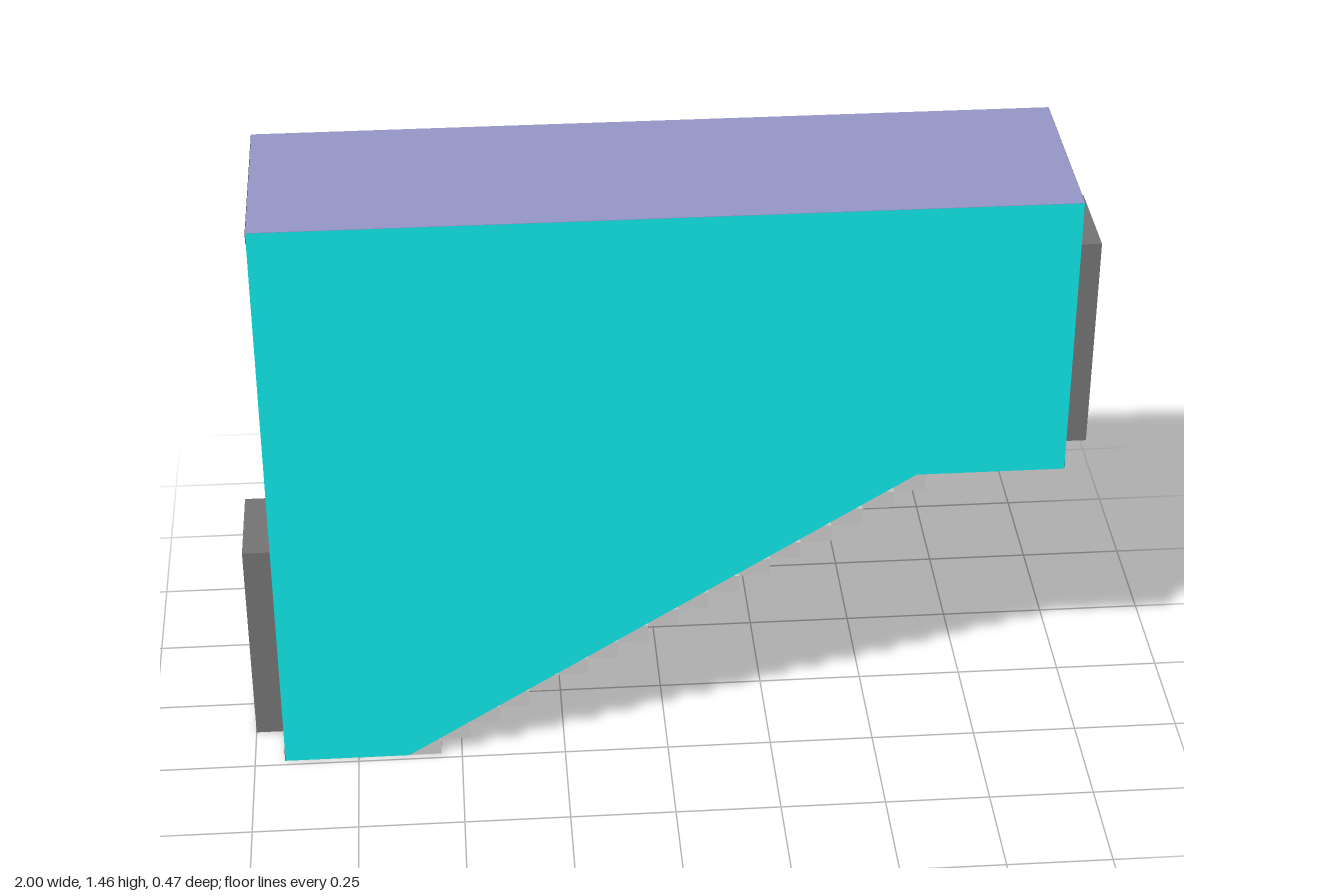
import * as THREE from 'three';

// Main dimensions
const END = 0.927, HALF = 0.235, TOP = 1.456, UPPER = 0.754, TIP = 1.0;
const DOOR_W = 0.117, DOOR_H = 0.531, CASING = 0.007;
const STEPS = 17, STAIR_X0 = -0.622, STAIR_X1 = 0.601, TRIM = 0.026;

const mat = (color) => new THREE.MeshStandardMaterial({ color, side: THREE.DoubleSide, flatShading: true });

export function createModel() {
  const group = new THREE.Group();
  const wallMat = mat(0x10e8e8), endMat = mat(0x10e810), ceilingMat = mat(0x9797ca);
  const floorMat = mat(0xe08888), trimMat = mat(0x757575), stepMat = mat(0xcccccc);

  const add = (name, geometry, material) => {
    const mesh = new THREE.Mesh(geometry, material);
    mesh.name = name;
    group.add(mesh);
    return mesh;
  };
  const box = (name, x0, x1, y0, y1, z0, z1, material) =>
    add(name, new THREE.BoxGeometry(x1 - x0, y1 - y0, z1 - z0), material)
      .position.set((x0 + x1) / 2, (y0 + y1) / 2, (z0 + z1) / 2);
  const outline = (points) => new THREE.Shape(points.map(([x, y]) => new THREE.Vector2(x, y)));

  // Long side walls, with the lower edge following the stairs
  const sideShape = outline([[-END, 0], [-0.628, 0], [0.58, UPPER], [END, UPPER], [END, TOP], [-END, TOP]]);
  for (const s of [-1, 1]) {
    const name = s > 0 ? 'front' : 'back';
    add(name + 'Wall', new THREE.ShapeGeometry(sideShape), wallMat).position.z = s * HALF;

    // Skirting and ceiling trim along the inside
    const z0 = s * (HALF - 0.002) - 0.001, z1 = z0 + 0.002;
    box(name + 'LowerSkirting', -END, -0.63, 0, TRIM, z0, z1, trimMat);
    box(name + 'UpperSkirting', 0.6, END, UPPER, UPPER + TRIM, z0, z1, trimMat);
    box(name + 'CeilingTrim', -END, END, TOP - TRIM, TOP, z0, z1, trimMat);
  }

  // Ceiling
  box('ceiling', -END, END, TOP - 0.001, TOP + 0.001, -HALF, HALF, ceilingMat);

  // Each end: wall with doorway, casing, projecting frame, trim and landing
  for (const [s, base, label, landingEdge] of [[-1, 0, 'lower', STAIR_X0], [1, UPPER, 'upper', STAIR_X1]]) {
    const head = base + DOOR_H;
    const arch = (w, h) => [[-w, base], [-w, h], [w, h], [w, base]];

    // A flat panel in the end plane
    const endPanel = (name, points, material, x) => {
      const mesh = add(name, new THREE.ShapeGeometry(outline(points)), material);
      mesh.rotation.y = Math.PI / 2;
      mesh.position.x = s * x;
    };
    endPanel(label + 'EndWall', [[-HALF, base], ...arch(DOOR_W, head), [HALF, base], [HALF, TOP], [-HALF, TOP]], endMat, END);
    endPanel(label + 'DoorCasing', [...arch(DOOR_W, head), ...arch(DOOR_W + CASING, head + CASING).reverse()], trimMat, END + 0.002);
    endPanel(label + 'EndCeilingTrim', [[-HALF, TOP - TRIM], [HALF, TOP - TRIM], [HALF, TOP], [-HALF, TOP]], trimMat, END + 0.001);
    for (const side of [-1, 1]) {
      const a = side * DOOR_W, b = side * HALF;
      endPanel(label + 'EndSkirting', [[a, base], [b, base], [b, base + TRIM], [a, base + TRIM]], trimMat, END + 0.001);
    }

    // Thin doorway frame
    const x0 = Math.min(s * END, s * TIP), x1 = Math.max(s * END, s * TIP);
    for (const side of [-1, 1]) {
      const z = side * (DOOR_W - 0.001);
      box(label + 'DoorJamb', x0, x1, base, head, z - 0.001, z + 0.001, trimMat);
    }
    box(label + 'DoorHead', x0, x1, head - 0.002, head, -DOOR_W, DOOR_W, trimMat);

    // Landing with a narrower threshold through the doorway
    const landing = outline([
      [landingEdge, -HALF], [s * END, -HALF], [s * END, -DOOR_W], [s * TIP, -DOOR_W],
      [s * TIP, DOOR_W], [s * END, DOOR_W], [s * END, HALF], [landingEdge, HALF],
    ]);
    const floor = add(label + 'Landing', new THREE.ShapeGeometry(landing), floorMat);
    floor.rotation.x = -Math.PI / 2;
    floor.position.y = base;
  }

  // Stair blocks climbing from one landing to the other
  const run = (STAIR_X1 - STAIR_X0) / STEPS, rise = UPPER / STEPS;
  for (let i = 0; i < STEPS; i++) {
    const x = STAIR_X0 + i * run, y = i * rise;
    box('step', x, x + run, y, y + rise, -HALF + 0.001, HALF - 0.001, stepMat);
  }
  return group;
}
